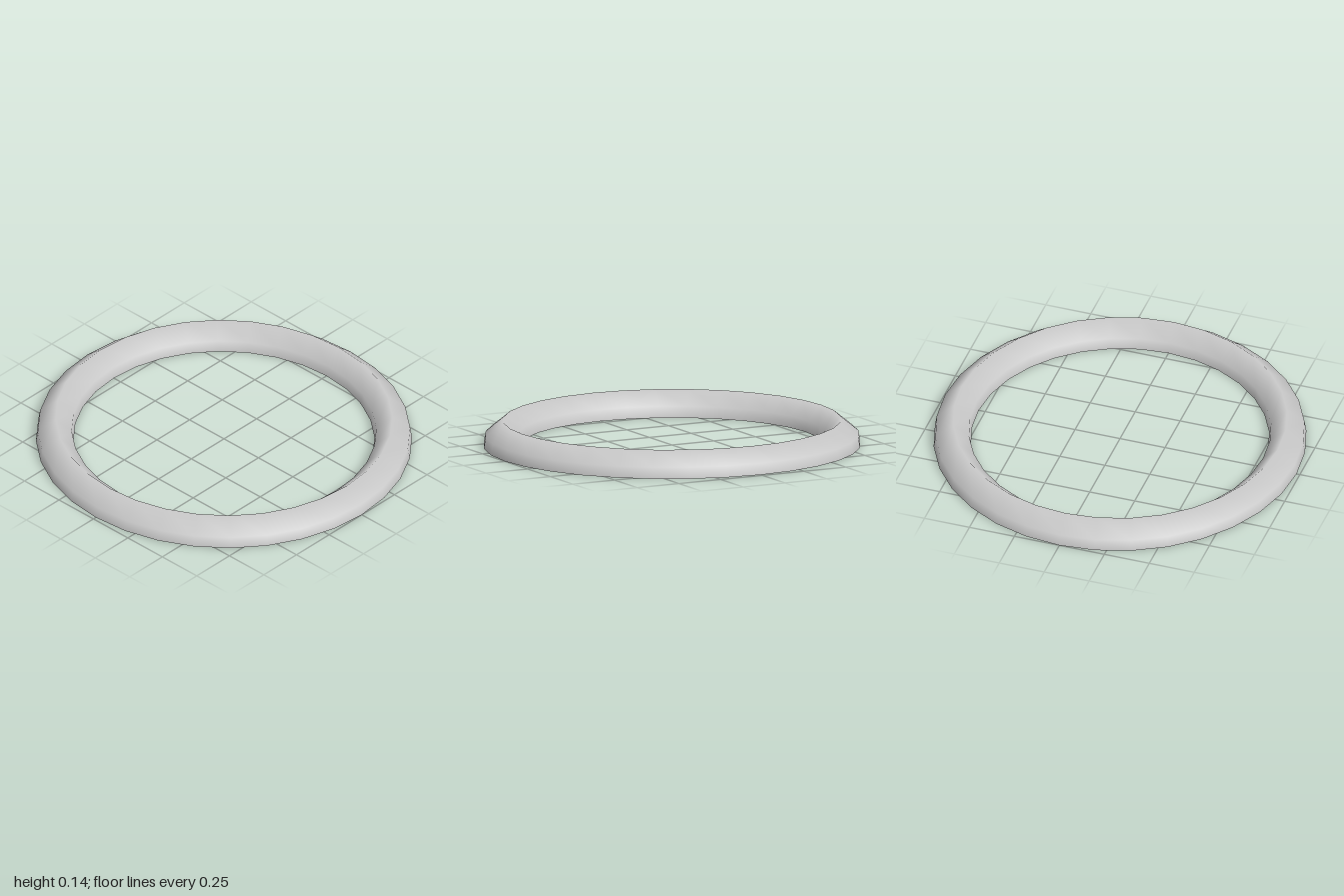
import * as THREE from 'three';

export function createModel() {
  const group = new THREE.Group();
  group.name = 'ringModel';

  // Arched shell section, open underneath, from outer rim to inner rim
  const profile = [
    [1.0, 0], [0.99, 0.06], [0.895, 0.137], [0.81, 0.06], [0.8, 0],
  ].map(([r, y]) => new THREE.Vector2(r, y));

  // Slightly oval ring
  const geometry = new THREE.LatheGeometry(profile, 32);
  geometry.scale(0.982, 1, 1);

  const ring = new THREE.Mesh(
    geometry,
    new THREE.MeshStandardMaterial({ color: 0xcccccc, side: THREE.DoubleSide })
  );
  ring.name = 'ringShell';
  group.add(ring);
  return group;
}
